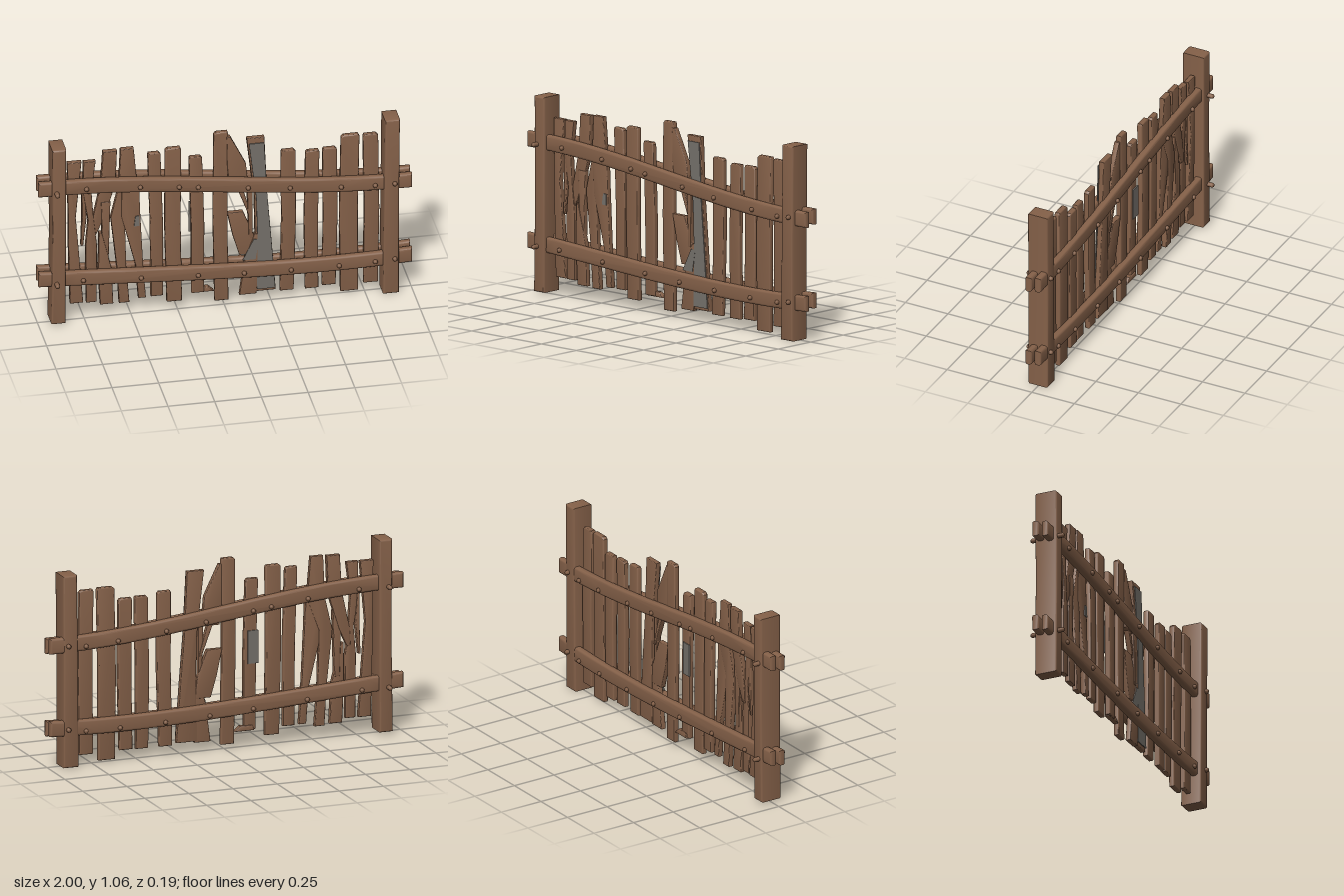
import * as THREE from 'three';
import { toCreasedNormals } from 'three/addons/utils/BufferGeometryUtils.js';

export function createModel() {
  const fence = new THREE.Group();
  fence.name = 'woodenFence';
  const brown = new THREE.MeshStandardMaterial({ color: 0x856149 });
  brown.name = 'weathered brown wood';
  const grey = new THREE.MeshStandardMaterial({ color: 0x75716b });
  grey.name = 'bare grey wood';

  // A slab cut to an x/y outline, from z0 to z1, with softened edges
  function slab(name, outline, z0, z1, bevel, material = brown) {
    const shape = new THREE.Shape(outline.map(([x, y]) => new THREE.Vector2(x, y)));
    const geo = new THREE.ExtrudeGeometry(shape, {
      depth: z1 - z0 - 2 * bevel, bevelEnabled: bevel > 0, bevelThickness: bevel,
      bevelSize: bevel, bevelOffset: -bevel, bevelSegments: 3,
    });
    geo.translate(0, 0, z0 + bevel);
    const mesh = new THREE.Mesh(toCreasedNormals(geo, Math.PI / 5), material);
    mesh.name = name;
    fence.add(mesh);
  }

  // Outline of an upright board from [centre x, y, width] stations, bottom to top
  function board(path) {
    const left = path.map(([x, y, w]) => [x - w / 2, y]);
    const right = path.map(([x, y, w]) => [x + w / 2, y]);
    return [...right, ...left.reverse()];
  }

  // Posts
  slab('rightPost', board([[-0.897, 0.02, 0.075], [-0.892, 0.55, 0.07], [-0.893, 1.068, 0.075]]), -0.065, 0.06, 0.01);
  slab('leftPost', board([[0.882, 0.008, 0.085], [0.885, 0.55, 0.08], [0.89, 1.053, 0.08]]), -0.055, 0.062, 0.01);

  // Sagging rails in front and behind, pegged through the planks and posts
  const railHeights = {
    upperRail: (x) => 0.748 - 0.08 * Math.sin(x * Math.PI / 2),
    lowerRail: (x) => 0.225 - 0.033 * Math.sin(x * Math.PI / 2) + 0.027 * x * x,
  };
  const pegSpots = {
    upperRail: [-0.745, -0.457, -0.249, -0.147, 0.12, 0.345, 0.618, 0.8],
    lowerRail: [-0.762, -0.452, -0.147, 0.099, 0.35, 0.607, 0.8],
  };
  for (const [name, height] of Object.entries(railHeights)) {
    const xs = Array.from({ length: 21 }, (_, i) => -1 + i / 10);
    const edge = (offset) => xs.map((x) => [x, height(x) + offset]);
    slab(name + 'Front', [...edge(-0.045), ...edge(0.039).reverse()], 0.004, 0.042, 0.012);
    slab(name + 'Back', [...edge(-0.035), ...edge(0.049).reverse()], -0.052, -0.012, 0.012);
    for (const x of pegSpots[name]) peg('railPeg', x, height(x) - 0.011, -0.065, 0.056);
    peg('rightPostPeg', -0.908, height(-0.908) - 0.016, -0.098, 0.095);
    peg('leftPostPeg', 0.901, height(0.901) + 0.003, -0.073, 0.078);
  }

  // Round peg with rounded ends
  function peg(name, x, y, z0, z1) {
    const r = 0.0125;
    const profile = [[0, z0], [r * 0.65, z0], [r, z0 + r / 2], [r, z1 - r / 2], [r * 0.65, z1], [0, z1]];
    const geo = new THREE.LatheGeometry(profile.map(([px, py]) => new THREE.Vector2(px, py)), 12);
    geo.rotateX(Math.PI / 2);
    const mesh = new THREE.Mesh(geo, brown);
    mesh.name = name;
    mesh.position.set(x, y, 0);
    fence.add(mesh);
  }

  // Whole planks: top x, top y, bottom x, bottom y, width; each bows slightly
  const planks = [
    [-0.375, 0.965, -0.36, 0.1, 0.068], [-0.274, 0.985, -0.267, 0.06, 0.085],
    [-0.155, 0.922, -0.143, 0.1, 0.07], [-0.017, 1.05, -0.014, 0.035, 0.077],
    [0.343, 0.905, 0.334, 0.06, 0.077], [0.471, 0.89, 0.467, 0.06, 0.074],
    [0.565, 0.89, 0.56, 0.065, 0.076], [0.674, 0.96, 0.668, 0.02, 0.098],
    [0.782, 0.955, 0.782, 0.06, 0.081],
  ];
  planks.forEach(([topX, top, bottomX, bottom, w], i) => {
    const bow = 0.006 * (-1) ** i;
    const dz = (i % 3 - 1) * 0.004;
    slab('plank', board([[bottomX, bottom, w * 0.95], [(topX + bottomX) / 2 + bow, (top + bottom) / 2, w],
      [topX, top - 0.012, w], [topX - bow / 2, top, w * 0.8]]), -0.02 + dz, 0.01 + dz, 0.006);
  });

  // Cracked planks and splinters
  function brokenPlank(path, i) {
    const dz = (i % 3 - 1) * 0.003;
    slab('brokenPlank', board(path), -0.02 + dz, 0.009 + dz, 0.004);
  }
  const rightSide = [
    [[-0.79, 0.105, 0.07], [-0.81, 0.5, 0.05], [-0.815, 0.62, 0.04], [-0.802, 0.955, 0.075]],
    [[-0.762, 0.45, 0.012], [-0.75, 0.62, 0.025], [-0.757, 0.8, 0.014]],
    [[-0.712, 0.105, 0.055], [-0.713, 0.45, 0.06], [-0.715, 0.6, 0.03], [-0.735, 0.78, 0.045], [-0.722, 0.955, 0.065]],
    [[-0.7, 0.5, 0.02], [-0.675, 0.6, 0.06], [-0.622, 0.8, 0.08], [-0.612, 1.003, 0.075]],
    [[-0.635, 0.34, 0.03], [-0.635, 0.7, 0.05]],
    [[-0.63, 0.085, 0.07], [-0.64, 0.3, 0.07], [-0.665, 0.52, 0.015]],
    [[-0.535, 0.08, 0.055], [-0.55, 0.3, 0.05], [-0.57, 0.6, 0.075], [-0.515, 0.78, 0.1], [-0.52, 1.007, 0.07]],
    [[-0.44, 0.1, 0.04], [-0.455, 0.3, 0.04], [-0.5, 0.6, 0.1], [-0.505, 0.8, 0.095]],
  ];
  rightSide.forEach(brokenPlank);
  const leaning = [[0.218, 0.07, 0.115], [0.208, 0.4, 0.085], [0.195, 0.65, 0.07], [0.167, 0.998, 0.095]];
  const middle = [
    [[-0.11, 0.097, 0.11], [-0.12, 0.125, 0.07]],
    [[0.08, 0.69, 0.1], [0.065, 0.85, 0.1], [0.022, 1.02, 0.02]],
    [[0.14, 0.4, 0.02], [0.135, 0.74, 0.03]],
    [[0.14, 0.53, 0.015], [0.08, 0.71, 0.03]],
    [[0.125, 0.3, 0.09], [0.1, 0.42, 0.11], [0.058, 0.56, 0.085]],
    [[0.125, 0.06, 0.09], [0.15, 0.28, 0.08], [0.175, 0.42, 0.03]],
    leaning,
  ];
  middle.forEach(brokenPlank);

  // Bare patches where the surface has split away
  const bareFace = leaning.map(([x, y, w]) => [x + 0.004, 0.02 + y * 0.95, w * 0.85]);
  slab('barePatchFront', board(bareFace), 0.0095, 0.0145, 0, grey);
  slab('barePatchLow', board([[0.13, 0.27, 0.07], [0.17, 0.39, 0.03]]), 0.0125, 0.0155, 0, grey);
  slab('barePatchBack', board([[-0.158, 0.46, 0.06], [-0.158, 0.64, 0.06]]), -0.0215, -0.0145, 0, grey);
  slab('barePatchSmall', board([[-0.47, 0.54, 0.03], [-0.467, 0.6, 0.02]]), 0.009, 0.0145, 0, grey);

  return fence;
}
